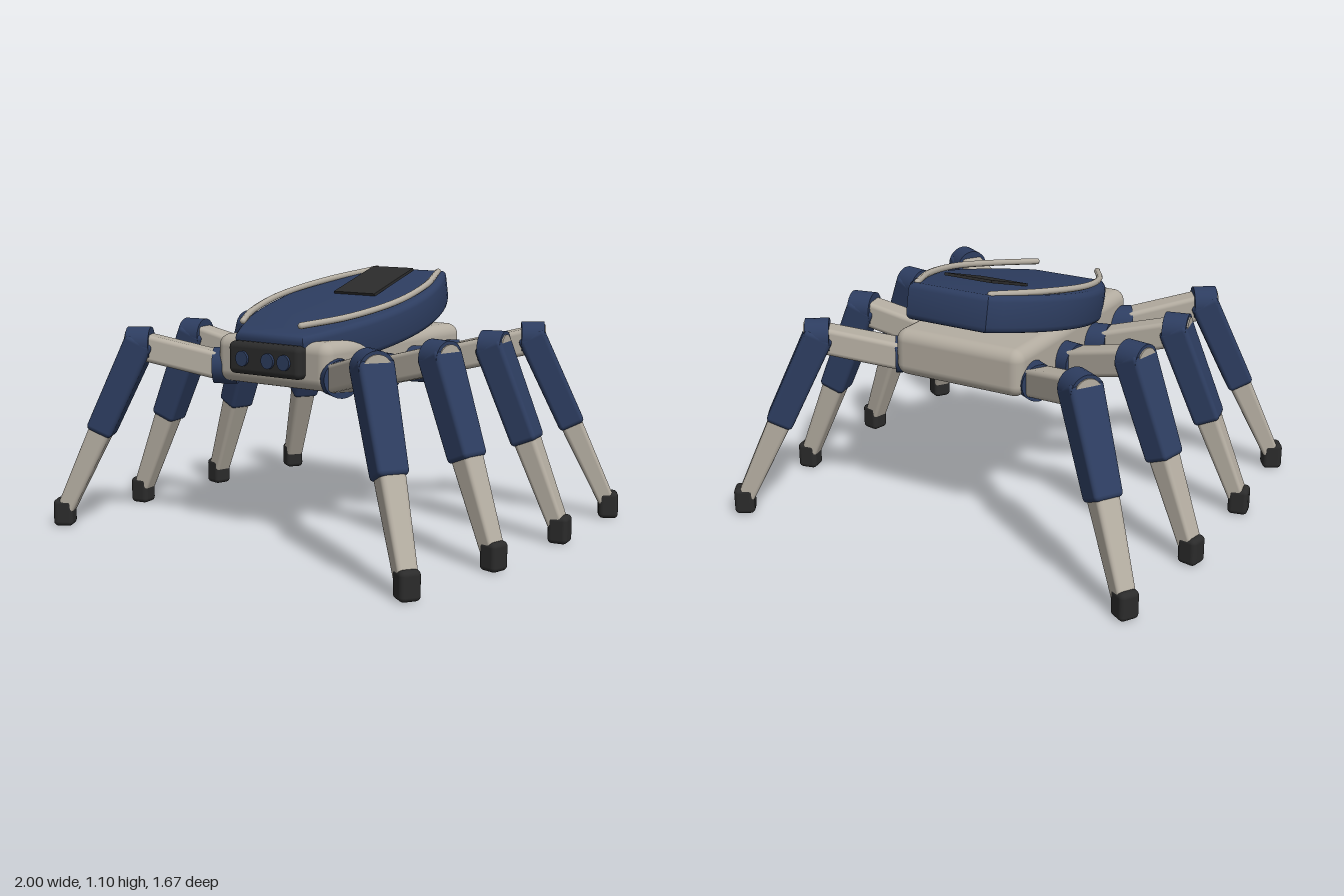
import * as THREE from 'three';
import { toCreasedNormals } from 'three/addons/utils/BufferGeometryUtils.js';
import { RoundedBoxGeometry } from 'three/addons/geometries/RoundedBoxGeometry.js';

const material = (name, color) => {
  const m = new THREE.MeshStandardMaterial({ color });
  m.name = name;
  return m;
};

export function createModel() {
  const navy = material('navy', 0x2d3d60);
  const grey = material('warmGrey', 0xb4ada1);
  const black = material('black', 0x2b2b2b);
  const model = new THREE.Group();
  model.name = 'walkingRobot';

  const add = (parent, name, geometry, mat, x = 0, y = 0, z = 0) => {
    const mesh = new THREE.Mesh(geometry, mat);
    mesh.name = name;
    mesh.position.set(x, y, z);
    parent.add(mesh);
    return mesh;
  };

  // Rounded bar between two points of the leg plane, tapering from size s0 to s1
  const bar = (parent, name, mat, a, b, s0, s1) => {
    const dx = b[0] - a[0], dy = b[1] - a[1], length = Math.hypot(dx, dy);
    const geometry = new RoundedBoxGeometry(1, length, 1, 2, 0.02);
    const p = geometry.attributes.position;
    const rounded = new RoundedBoxGeometry(s0[0], length, s0[1], 2, 0.02);
    geometry.copy(rounded);
    const q = geometry.attributes.position ?? p;
    for (let i = 0; i < q.count; i++) {
      const t = q.getY(i) / length + 0.5;
      q.setX(i, q.getX(i) * THREE.MathUtils.lerp(1, s1[0] / s0[0], t));
      q.setZ(i, q.getZ(i) * THREE.MathUtils.lerp(1, s1[1] / s0[1], t));
    }
    const mesh = add(parent, name, geometry, mat, (a[0] + b[0]) / 2, (a[1] + b[1]) / 2);
    mesh.rotation.z = Math.atan2(dy, dx) - Math.PI / 2;
    return mesh;
  };

  // Body
  add(model, 'chassis', new RoundedBoxGeometry(0.6, 0.2, 0.98, 4, 0.05), grey, 0, 0.755, -0.02);

  // Tilted shell with bowed sides
  const outline = new THREE.Shape();
  outline.moveTo(-0.165, -0.5);
  outline.lineTo(0.165, -0.5);
  outline.quadraticCurveTo(0.475, 0, 0.17, 0.5);
  outline.lineTo(-0.17, 0.5);
  outline.quadraticCurveTo(-0.475, 0, -0.165, -0.5);
  const shellGeometry = new THREE.ExtrudeGeometry(outline, {
    depth: 0.1, bevelThickness: 0.025, bevelSize: 0.025, bevelSegments: 3, curveSegments: 20,
  });
  shellGeometry.translate(0, 0, -0.05).rotateX(-Math.PI / 2);
  const shell = add(model, 'shell', toCreasedNormals(shellGeometry, 0.6), navy, 0, 0.905, -0.05);
  shell.rotation.x = 0.205;

  // Panel raised off the rear of the shell
  const panel = add(model, 'backPanel', new THREE.BoxGeometry(0.22, 0.012, 0.31), black, 0, 1.045, -0.253);
  panel.rotation.x = 0.31;

  // Rails following the shell edges
  for (const side of [-1, 1]) {
    const path = new THREE.CatmullRomCurve3([
      [0.155, 0.917, 0.455], [0.255, 0.944, 0.27], [0.31, 0.988, 0.02],
      [0.27, 1.037, -0.26], [0.17, 1.078, -0.51],
    ].map(([x, y, z]) => new THREE.Vector3(side * x, y, z)));
    add(model, 'rail', new THREE.TubeGeometry(path, 32, 0.014, 8), grey);
    for (const t of [0, 1]) {
      const end = path.getPoint(t);
      add(model, 'railEnd', new THREE.SphereGeometry(0.014, 8, 6), grey, end.x, end.y, end.z);
    }
  }

  // Sensor head and lenses
  add(model, 'head', new RoundedBoxGeometry(0.38, 0.135, 0.1, 3, 0.025), black, 0, 0.77, 0.465);
  for (const x of [-0.105, 0.032, 0.116]) {
    add(model, 'lens', new THREE.CylinderGeometry(0.032, 0.032, 0.03, 20), navy, x, 0.77, 0.511)
      .rotation.x = Math.PI / 2;
  }

  // Legs: hip x and z, turn from the side, reach to knee and to foot
  const legs = [
    [0.30, 0.40, 0.563, 0.372, 0.721],
    [0.32, 0.135, 0.197, 0.345, 0.648],
  ];
  const hipY = 0.713, kneeY = 0.8;
  for (const [hipX, hipZ, turn, knee, foot] of legs) {
    for (const side of [-1, 1]) for (const end of [-1, 1]) {
      const leg = new THREE.Group();
      leg.name = (end > 0 ? 'front' : 'rear') + (side > 0 ? 'Left' : 'Right') + 'Leg';
      leg.position.set(side * hipX, 0, end * hipZ);
      leg.rotation.y = side > 0 ? -end * turn : Math.PI + end * turn;
      model.add(leg);

      const joint = (name, radius, length, mat, x, y) => {
        add(leg, name, new THREE.CylinderGeometry(radius, radius, length, 24), mat, x, y)
          .rotation.z = Math.PI / 2;
      };
      joint('hipJoint', 0.078, 0.1, navy, 0, hipY);
      joint('kneeJoint', 0.074, 0.1, navy, knee, kneeY);
      joint('kneeCap', 0.06, 0.008, grey, knee + 0.052, kneeY);

      // Point on the line from knee to ankle
      const along = (t) => [knee + (foot - knee) * t, kneeY + (0.06 - kneeY) * t];
      bar(leg, 'upperLink', grey, [0.02, hipY], [knee, kneeY - 0.005], [0.115, 0.12], [0.115, 0.105]);
      bar(leg, 'thigh', navy, along(-0.03), along(0.52), [0.125, 0.15], [0.115, 0.125]);
      bar(leg, 'shin', grey, along(0.45), along(0.99), [0.1, 0.108], [0.072, 0.08]);
      add(leg, 'foot', new RoundedBoxGeometry(0.086, 0.118, 0.086, 3, 0.02), black, foot, 0.059);
    }
  }
  return model;
}
